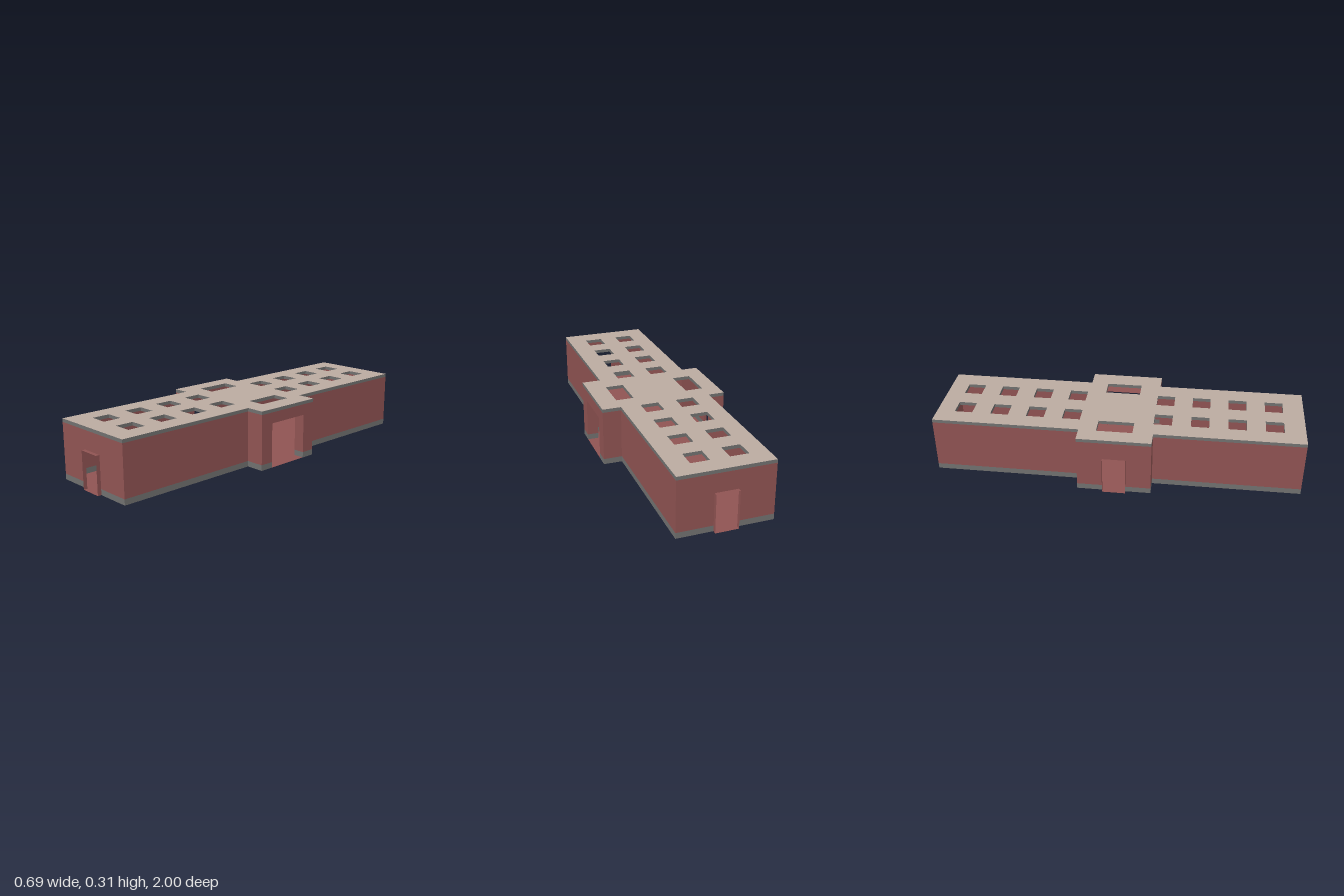
import * as THREE from 'three';

export function createModel() {
  const mat = (name, color) => {
    const m = new THREE.MeshStandardMaterial({ color, side: THREE.DoubleSide });
    m.name = name;
    return m;
  };
  const brick = mat('brick red', 0x8f5352);
  const stone = mat('stone grey', 0x70706f);
  const tan = mat('roof tan', 0xbaaaa0);

  const building = new THREE.Group();
  building.name = 'building';
  const add = (parent, name, geometry, material) => {
    const mesh = new THREE.Mesh(geometry, material);
    mesh.name = name;
    parent.add(mesh);
    return mesh;
  };

  const BASE = 0.03, EAVE = 0.296, TOP = 0.314;
  // Cross-shaped plan: long hall with a wider centre block
  const hx0 = -0.242, hx1 = 0.248, hz = 0.98;
  const cx0 = -0.33, cx1 = 0.347, cz = 0.195;
  const plan = [
    [hx0, hz], [hx1, hz], [hx1, cz], [cx1, cz], [cx1, -cz], [hx1, -cz],
    [hx1, -hz], [hx0, -hz], [hx0, -cz], [cx0, -cz], [cx0, cz], [hx0, cz],
  ];

  // Upright thin panel between two plan points
  function panel(parent, name, a, b, y0, y1, material) {
    const dx = b[0] - a[0], dz = b[1] - a[1];
    const mesh = add(parent, name, new THREE.PlaneGeometry(Math.hypot(dx, dz), y1 - y0), material);
    mesh.position.set((a[0] + b[0]) / 2, (y0 + y1) / 2, (a[1] + b[1]) / 2);
    mesh.rotation.y = Math.atan2(-dz, dx);
  }
  // Horizontal thin panel
  function slab(parent, name, x0, x1, z0, z1, y, material) {
    const geo = new THREE.PlaneGeometry(x1 - x0, z1 - z0).rotateX(-Math.PI / 2);
    add(parent, name, geo, material).position.set((x0 + x1) / 2, y, (z0 + z1) / 2);
  }
  function wallStrip(parent, a, b) {
    panel(parent, 'plinth', a, b, 0, BASE, stone);
    panel(parent, 'wallFace', a, b, BASE, EAVE, brick);
  }

  // Walls; entries give the doorway edges and height for walls that have one
  const doorX = [-0.055, 0.063], doorZ = [-0.06, 0.062], gateZ = [-0.12, 0.12];
  const DOOR = 0.198, GATE = 0.238;
  const openings = {
    0: [[doorX[0], hz], [doorX[1], hz], DOOR],
    3: [[cx1, gateZ[1]], [cx1, gateZ[0]], GATE],
    6: [[doorX[1], -hz], [doorX[0], -hz], DOOR],
    9: [[cx0, doorZ[0]], [cx0, doorZ[1]], DOOR],
  };
  const walls = new THREE.Group();
  walls.name = 'walls';
  building.add(walls);
  plan.forEach((a, i) => {
    const b = plan[(i + 1) % plan.length];
    if (!openings[i]) return wallStrip(walls, a, b);
    const [p, q, h] = openings[i];
    wallStrip(walls, a, p);
    wallStrip(walls, q, b);
    panel(walls, 'lintelWall', p, q, h, EAVE, brick);
  });

  // Projecting door surrounds at both ends
  for (const s of [1, -1]) {
    const porch = new THREE.Group();
    porch.name = s > 0 ? 'frontDoorSurround' : 'backDoorSurround';
    building.add(porch);
    for (const x of doorX) panel(porch, 'jamb', [x, s * hz], [x, s], 0, DOOR, brick);
    const z0 = Math.min(s * hz, s), z1 = Math.max(s * hz, s);
    slab(porch, 'head', doorX[0], doorX[1], z0, z1, DOOR, brick);
    slab(porch, 'threshold', doorX[0], doorX[1], z0, z1, 0, brick);
  }

  // Projecting side door surround
  const side = new THREE.Group();
  side.name = 'sideDoorSurround';
  building.add(side);
  for (const z of doorZ) panel(side, 'jamb', [cx0, z], [-0.348, z], 0, DOOR, brick);
  for (const y of [0, DOOR]) slab(side, y ? 'head' : 'threshold', -0.348, cx0, doorZ[0], doorZ[1], y, brick);

  // Inward reveal of the wide gateway
  const gate = new THREE.Group();
  gate.name = 'gatewayReveal';
  building.add(gate);
  const gx = cx1 - 0.06;
  for (const z of gateZ) {
    panel(gate, 'jambPlinth', [cx1, z], [gx, z], 0, BASE, stone);
    panel(gate, 'jamb', [cx1, z], [gx, z], BASE, GATE, brick);
  }
  slab(gate, 'head', gx, cx1, gateZ[0], gateZ[1], GATE, brick);

  // Floor
  const outline = () => new THREE.Shape(plan.map(([x, z]) => new THREE.Vector2(x, -z)));
  add(building, 'floor', new THREE.ShapeGeometry(outline()).rotateX(-Math.PI / 2), brick);

  // Roof slab with skylights; rims and edges are grey
  const roof = outline();
  const hole = (x, z, w, d) => roof.holes.push(new THREE.Path([
    [x - w / 2, -z - d / 2], [x - w / 2, -z + d / 2], [x + w / 2, -z + d / 2], [x + w / 2, -z - d / 2],
  ].map(([u, v]) => new THREE.Vector2(u, v))));
  const S = 0.096;
  for (let k = 0; k < 4; k++) {
    for (const s of [1, -1]) {
      for (const x of [-0.098, 0.096]) hole(x, -0.007 + s * (0.244 + 0.195 * k), S, S);
    }
  }
  for (const x of [-0.195, 0.197]) hole(x, -0.007, S, 0.19);
  const roofGeo = new THREE.ExtrudeGeometry(roof, { depth: TOP - EAVE, bevelEnabled: false });
  roofGeo.rotateX(-Math.PI / 2);
  add(building, 'roof', roofGeo, [tan, stone]).position.y = EAVE;

  return building;
}
